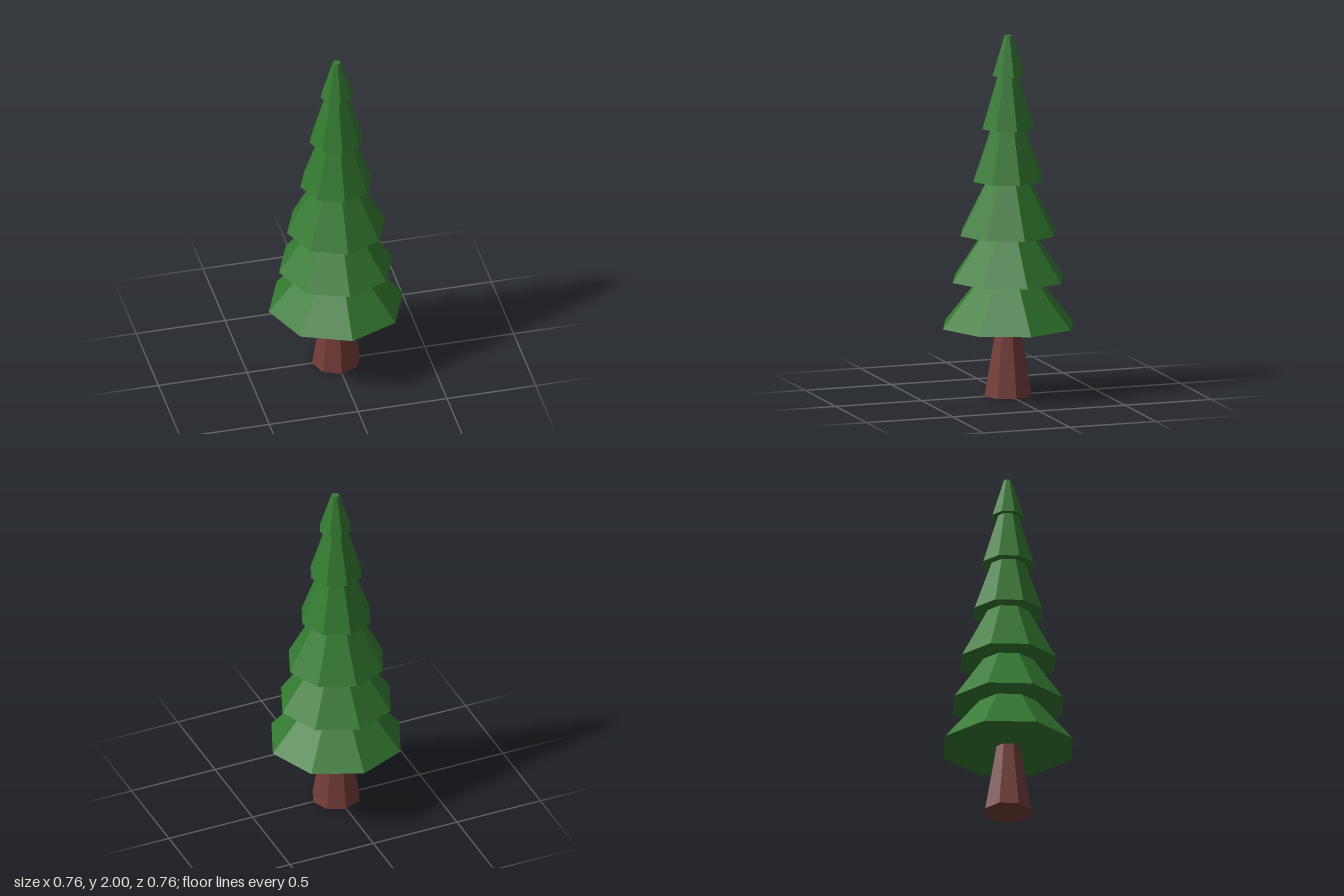
import * as THREE from 'three';

const SIDES = 8;

export function createModel() {
  const tree = new THREE.Group();
  tree.name = 'pineTree';

  const bark = new THREE.MeshStandardMaterial({ color: 0x743d38, flatShading: true });
  const needles = new THREE.MeshStandardMaterial({ color: 0x337a30, flatShading: true });

  // Tapered eight-sided section standing between two heights
  function addSection(name, material, bottomY, topY, bottomR, topR) {
    const geometry = new THREE.CylinderGeometry(topR, bottomR, topY - bottomY, SIDES);
    const mesh = new THREE.Mesh(geometry, material);
    mesh.name = name;
    mesh.position.y = (bottomY + topY) / 2;
    tree.add(mesh);
    return mesh;
  }

  // Trunk flares toward the ground
  addSection('trunk', bark, 0, 0.395, 0.137, 0.067);

  // Foliage tiers, lowest first: bottom height, top height, bottom radius, top radius
  const tiers = [
    [0.388, 0.645, 0.378, 0.168],
    [0.643, 0.902, 0.321, 0.145],
    [0.9, 1.2, 0.276, 0.12],
    [1.197, 1.49, 0.201, 0.097],
    [1.487, 1.782, 0.149, 0.058],
    [1.78, 2, 0.091, 0.022],
  ];
  tiers.forEach((tier, i) => addSection(`foliageTier${i + 1}`, needles, ...tier));

  // The tip leans very slightly to one side
  tree.getObjectByName('foliageTier6').position.x = 0.004;

  return tree;
}
